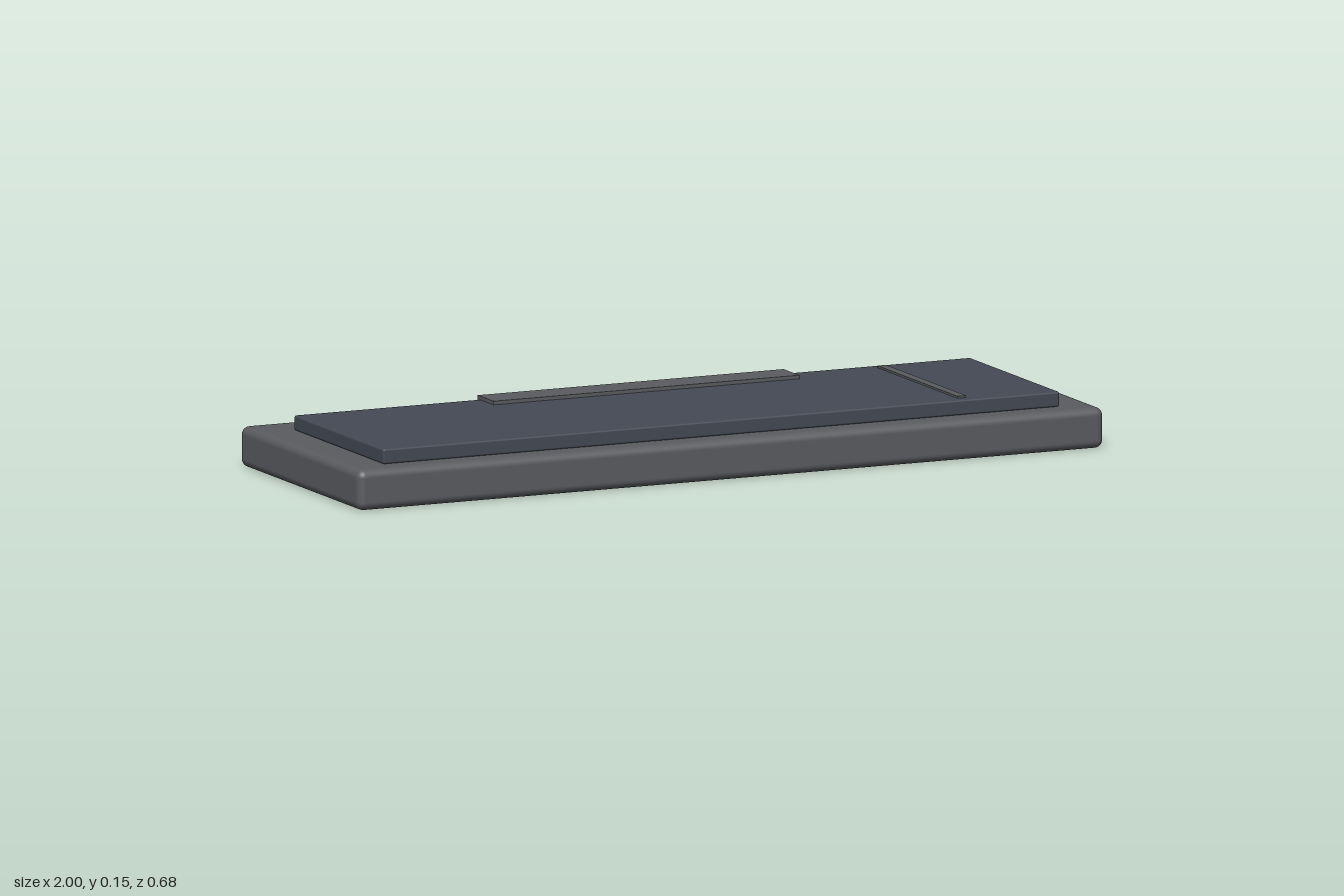
import * as THREE from 'three';
import { RoundedBoxGeometry } from 'three/addons/geometries/RoundedBoxGeometry.js';

export function createModel() {
  const model = new THREE.Group();
  const grey = new THREE.MeshStandardMaterial({ color: 0x5a5c60 });
  const slate = new THREE.MeshStandardMaterial({ color: 0x444954 });

  // Adds a box given its extents on each axis; a radius rounds its edges
  function addBox(name, material, [x0, x1], [y0, y1], [z0, z1], radius = 0) {
    const size = [x1 - x0, y1 - y0, z1 - z0];
    const geometry = radius
      ? new RoundedBoxGeometry(...size, 4, radius)
      : new THREE.BoxGeometry(...size);
    const mesh = new THREE.Mesh(geometry, material);
    mesh.name = name;
    mesh.position.set((x0 + x1) / 2, (y0 + y1) / 2, (z0 + z1) / 2);
    model.add(mesh);
  }

  // Slab with softly rounded edges
  addBox('base', grey, [-1, 1], [0, 0.1], [-0.34, 0.34], 0.02);
  // Raised panel, set slightly towards the front
  addBox('topPanel', slate, [-0.907, 0.907], [0.1, 0.137], [-0.226, 0.281], 0.005);
  // Bar overlapping the panel's back edge
  addBox('backBar', grey, [-0.41, 0.41], [0.11, 0.146], [-0.235, -0.145]);
  // Thin raised strip across the left end
  addBox('strip', grey, [0.645, 0.668], [0.13, 0.142], [-0.2, 0.255]);

  return model;
}
